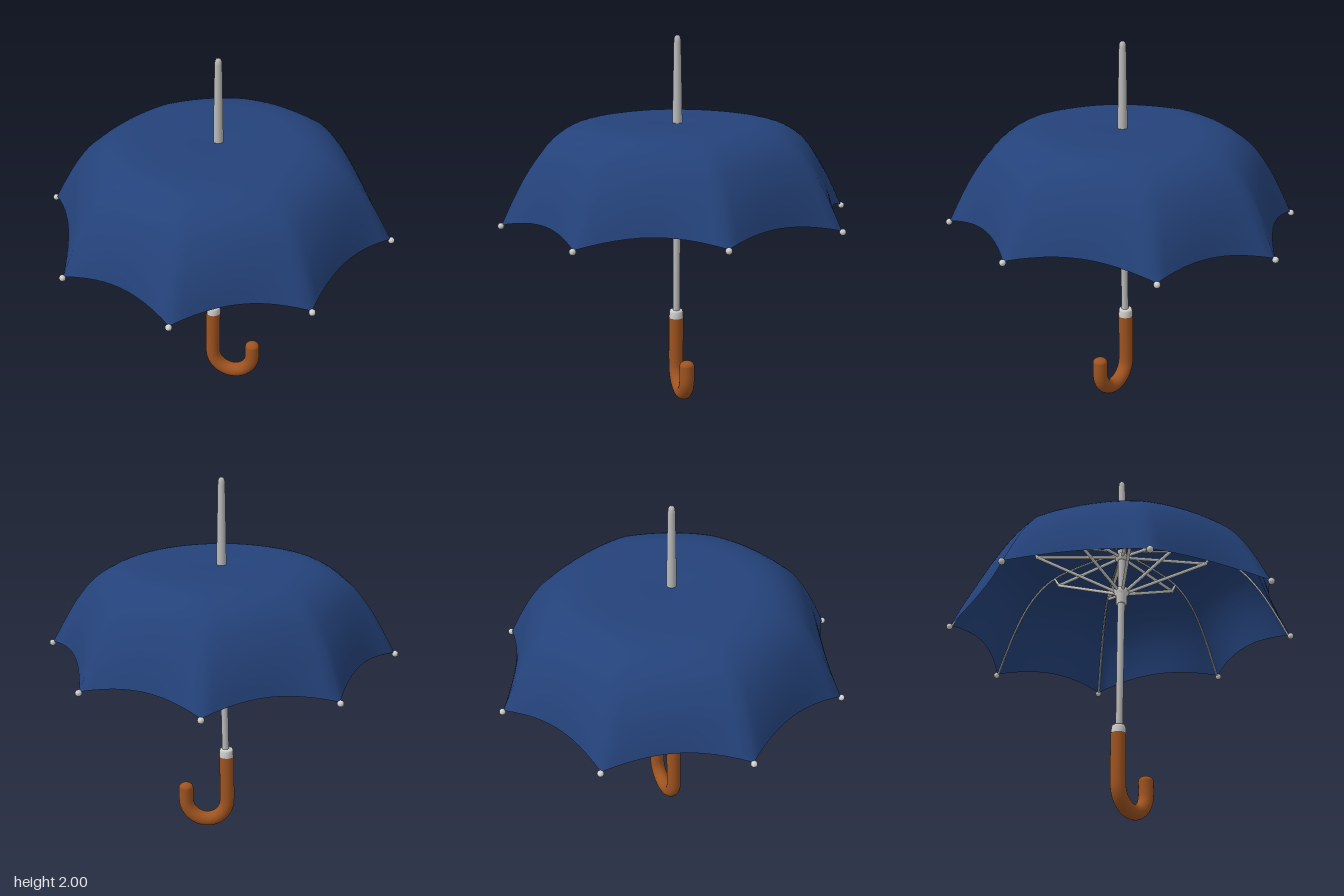
import * as THREE from 'three';

const V = (x, y, z = 0) => new THREE.Vector3(x, y, z);

// Rib tips going round from +x: x, y, z
const TIPS = [
  [0.93, 1.08, 0], [0.635, 1.045, 0.68], [0, 1.035, 0.95], [-0.635, 1.03, 0.68],
  [-0.93, 1.075, 0], [-0.64, 1.035, -0.675], [0, 1.035, -0.955], [0.63, 1.05, -0.695],
].map(p => V(...p));

// Rib profile: fraction of the tip radius, height
const PROFILE = new THREE.CatmullRomCurve3([
  [0, 1.535], [0.2, 1.548], [0.4, 1.55], [0.53, 1.54], [0.64, 1.505], [0.75, 1.43],
  [0.85, 1.31], [0.93, 1.18], [1, 1.05],
].map(([r, y]) => V(r, y)));

function ribPoint(i, t) {
  const tip = TIPS[i % 8], p = PROFILE.getPointAt(t);
  return V(tip.x * p.x, p.y + (tip.y - 1.05) * t ** 4, tip.z * p.x);
}

// Fabric point between rib i and the next: rounded near the crown, scalloped at the hem
function fabricPoint(i, u, t) {
  const p = ribPoint(i, t).lerp(ribPoint(i + 1, t), u);
  const s = 4 * u * (1 - u);
  const k = 1 + s * (0.08 * (1 - t * t) - 0.055 * t ** 3);
  return V(p.x * k, p.y + s * 0.048 * t ** 4, p.z * k);
}

function canopyGeometry() {
  const per = 12, rows = 32, cols = per * 8, pos = [], index = [];
  for (let j = 0; j <= rows; j++)
    for (let c = 0; c < cols; c++)
      pos.push(...fabricPoint(Math.floor(c / per), (c % per) / per, 0.01 + 0.99 * j / rows).toArray());
  for (let j = 0; j < rows; j++)
    for (let c = 0; c < cols; c++) {
      const d = (c + 1) % cols, a = j * cols + c, b = j * cols + d;
      index.push(a, b, a + cols, b, b + cols, a + cols);
    }
  const g = new THREE.BufferGeometry();
  g.setAttribute('position', new THREE.Float32BufferAttribute(pos, 3));
  g.setIndex(index);
  g.computeVertexNormals();
  return g;
}

export function createModel() {
  const group = new THREE.Group();
  const mat = (name, color) => new THREE.MeshStandardMaterial({ name, color });
  const navy = mat('navy fabric', 0x24427a);
  navy.side = THREE.DoubleSide;
  const steel = mat('steel', 0xb9b9b9);
  const pale = mat('pale metal', 0xd0d0cd);
  const wood = mat('brown wood', 0x9e5320);

  const add = (name, geo, m, p = V(0, 0, 0), parent = group) => {
    const mesh = new THREE.Mesh(geo, m);
    mesh.name = name;
    mesh.position.copy(p);
    parent.add(mesh);
    return mesh;
  };
  // Round rod between two points
  const rod = (name, a, b, r0, r1, m, parent = group) => {
    const d = b.clone().sub(a);
    const mesh = add(name, new THREE.CylinderGeometry(r1, r0, d.length(), 16), m, a.clone().add(b).multiplyScalar(0.5), parent);
    mesh.quaternion.setFromUnitVectors(V(0, 1, 0), d.normalize());
    return mesh;
  };
  const lathe = pts => new THREE.LatheGeometry(pts.map(p => new THREE.Vector2(...p)), 28);

  add('canopy', canopyGeometry(), navy);

  // Slightly leaning shaft and the tapered spike on top
  rod('shaft', V(-0.024, 0.44), V(0.002, 1.54), 0.019, 0.021, steel);
  add('spike', lathe([[0.026, 1.5], [0.026, 1.57], [0.024, 1.7], [0.019, 1.965],
    [0.017, 1.985], [0.011, 1.996], [0, 2]]), steel);

  // Collar above the handle
  add('collar', lathe([[0, 0.425], [0.037, 0.425], [0.039, 0.435], [0.038, 0.468],
    [0.034, 0.48], [0, 0.482]]), pale, V(-0.028, 0, 0));

  // Hooked handle: straight grip, half circle, short upturned end
  const path = [V(-0.03, 0.435), V(-0.031, 0.35), V(-0.032, 0.26)];
  for (let i = 0; i <= 12; i++) {
    const a = Math.PI * (1 + i / 12);
    path.push(V(0.085 + 0.117 * Math.cos(a), 0.162 + 0.12 * Math.sin(a)));
  }
  path.push(V(0.202, 0.232));
  add('handle', new THREE.TubeGeometry(new THREE.CatmullRomCurve3(path), 80, 0.041, 20), wood);
  add('handleEnd', new THREE.SphereGeometry(0.041, 20, 12), wood, V(0.202, 0.232, 0)).scale.y = 0.7;

  // Sliding runner and upper hub on the shaft
  add('runner', lathe([[0.02, 1.2], [0.03, 1.2], [0.031, 1.255], [0.042, 1.26],
    [0.042, 1.29], [0.02, 1.295]]), pale, V(-0.004, 0, 0));
  add('hub', lathe([[0.02, 1.475], [0.036, 1.478], [0.036, 1.508], [0.02, 1.512]]), pale);

  // Frame: a rib wire, inner arm, strut and end bead for each tip
  TIPS.forEach((tip, i) => {
    const rib = new THREE.Group();
    rib.name = 'rib' + (i + 1);
    group.add(rib);
    const pts = [];
    for (let k = 0; k <= 16; k++) {
      const p = ribPoint(i, 0.04 + 0.96 * k / 16);
      pts.push(V(p.x * 0.993, p.y - 0.008, p.z * 0.993));
    }
    add('ribWire', new THREE.TubeGeometry(new THREE.CatmullRomCurve3(pts), 40, 0.005, 8), pale, undefined, rib);
    const dir = V(tip.x, 0, tip.z).normalize();
    const at = (r, y) => dir.clone().multiplyScalar(r).setY(y);
    const joint = at(0.475, 1.475);
    rod('innerArm', at(0.025, 1.495), joint, 0.009, 0.009, pale, rib);
    rod('strut', at(0.03, 1.275), joint, 0.009, 0.009, pale, rib);
    rod('ribLink', joint, at(0.51, 1.53), 0.008, 0.006, pale, rib);
    add('joint', new THREE.SphereGeometry(0.011, 12, 8), pale, joint, rib);
    add('tipBead', new THREE.SphereGeometry(0.017, 16, 12), pale, tip.clone().addScaledVector(dir, 0.004).setY(tip.y - 0.006), rib);
  });
  return group;
}
